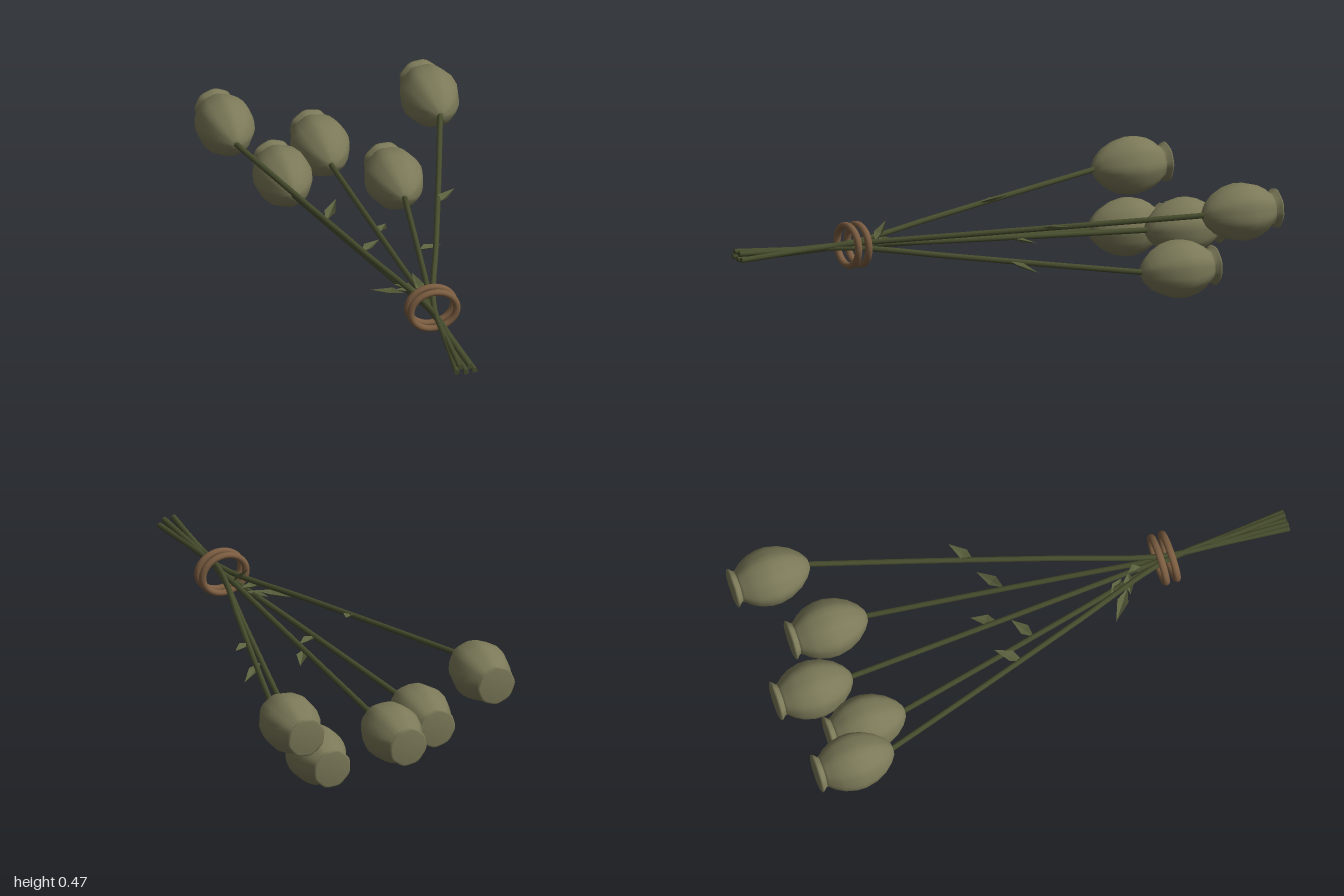
import * as THREE from 'three';
import { mergeVertices } from 'three/addons/utils/BufferGeometryUtils.js';

const mat = (name, color, extra = {}) => {
  const m = new THREE.MeshStandardMaterial({ color, ...extra });
  m.name = name;
  return m;
};
const V = (p) => new THREE.Vector3(...p);

// Closed lathe lying along -z, with gentle lobes around its side
function lobedLathe(points, lobes, depth, phase) {
  const geo = new THREE.LatheGeometry(points.map(([r, y]) => new THREE.Vector2(r, y)), 32);
  geo.deleteAttribute('uv');
  geo.deleteAttribute('normal');
  const p = geo.attributes.position;
  for (let i = 0; i < p.count; i++) {
    const k = 1 + depth * Math.cos(lobes * Math.atan2(p.getX(i), p.getZ(i)) + phase);
    p.setX(i, p.getX(i) * k);
    p.setZ(i, p.getZ(i) * k);
  }
  const merged = mergeVertices(geo, 1e-5);
  merged.rotateX(-Math.PI / 2);
  merged.computeVertexNormals();
  return merged;
}

// Small pointed leaf folded along its midrib
function leafGeometry(base, tip) {
  const a = V(base), b = V(tip);
  const dir = b.clone().sub(a).normalize();
  const side = dir.clone().cross(new THREE.Vector3(0, 1, 0)).normalize();
  const up = side.clone().cross(dir);
  const mid = a.clone().lerp(b, 0.45).addScaledVector(up, -0.008);
  const l = a.clone().lerp(b, 0.4).addScaledVector(side, 0.021).addScaledVector(up, 0.006);
  const r = a.clone().lerp(b, 0.4).addScaledVector(side, -0.021).addScaledVector(up, 0.006);
  const geo = new THREE.BufferGeometry().setFromPoints([a, l, mid, l, b, mid, a, mid, r, mid, b, r]);
  geo.computeVertexNormals();
  return geo;
}

export function createModel() {
  const model = new THREE.Group();
  model.name = 'driedPodBouquet';
  const podMat = mat('pod olive', 0x7b7958);
  const stemMat = mat('stem green', 0x464c2d);
  const leafMat = mat('leaf green', 0x5a603d, { side: THREE.DoubleSide });
  const twineMat = mat('twine brown', 0x7a5c40);
  const add = (name, geo, material, parent = model) => {
    const mesh = new THREE.Mesh(geo, material);
    mesh.name = name;
    parent.add(mesh);
    return mesh;
  };

  const podProfile = [[0, 0], [0.022, 0.004], [0.048, 0.022], [0.075, 0.053], [0.096, 0.095], [0.106, 0.14],
    [0.105, 0.175], [0.095, 0.215], [0.079, 0.245], [0.062, 0.265], [0.056, 0.278], [0, 0.28]];
  const crownProfile = [[0.054, 0.262], [0.06, 0.278], [0.071, 0.289], [0.073, 0.294], [0.066, 0.298], [0, 0.301]];

  // Each stem: cut end, gathering point in the twine, pod base
  const stems = [
    { cut: [0.038, 0.272, 1], tie: [-0.004, 0.286, 0.53], pod: [-0.395, 0.372, -0.65] },
    { cut: [0.02, 0.292, 1], tie: [0, 0.272, 0.53], pod: [-0.208, 0.19, -0.54] },
    { cut: [0.006, 0.27, 1], tie: [0.006, 0.276, 0.53], pod: [-0.027, 0.212, -0.68] },
    { cut: [-0.018, 0.294, 1], tie: [0.014, 0.27, 0.53], pod: [0.212, 0.113, -0.54] },
    { cut: [-0.03, 0.274, 1], tie: [0.016, 0.286, 0.53], pod: [0.392, 0.343, -0.7] },
  ];
  stems.forEach(({ cut, tie, pod }, i) => {
    const c = V(cut), t = V(tie), p = V(pod);
    const path = new THREE.CatmullRomCurve3([c, c.clone().lerp(t, 0.5), t, t.clone().lerp(p, 0.33),
      t.clone().lerp(p, 0.67), p.clone().add(new THREE.Vector3(0, 0, -0.01))]);
    add('stem', new THREE.TubeGeometry(path, 24, 0.0105, 8), stemMat);

    // Flat cap on the cut end
    const cap = add('stemEnd', new THREE.CircleGeometry(0.0105, 8), stemMat);
    cap.position.copy(c);
    cap.lookAt(c.clone().multiplyScalar(2).sub(t));

    // Seed pod with its flared crown
    const head = new THREE.Group();
    head.name = 'seedPod';
    head.position.copy(p);
    add('podBody', lobedLathe(podProfile, 8, 0.02, i), podMat, head);
    add('podCrown', lobedLathe(crownProfile, 8, 0.02, i), podMat, head);
    model.add(head);
  });

  // Leaves: base and tip
  const leaves = [
    [[-0.215, 0.333, -0.09], [-0.152, 0.367, -0.18]],
    [[-0.105, 0.231, -0.01], [-0.02, 0.24, -0.067]],
    [[-0.012, 0.24, -0.115], [0.042, 0.222, -0.203]],
    [[0.125, 0.187, -0.045], [0.225, 0.155, -0.115]],
    [[0.21, 0.319, -0.13], [0.3, 0.332, -0.197]],
    [[-0.05, 0.262, 0.37], [-0.155, 0.248, 0.29]],
    [[0.005, 0.282, 0.44], [-0.025, 0.35, 0.38]],
    [[0.0, 0.275, 0.39], [-0.085, 0.282, 0.37]],
    [[-0.01, 0.27, 0.36], [-0.07, 0.262, 0.3]],
  ];
  for (const [base, tip] of leaves) add('leaf', leafGeometry(base, tip), leafMat);

  // Two loops of twine around the stems
  for (const z of [0.51, 0.552]) {
    const ring = add('twineLoop', new THREE.TorusGeometry(0.087, 0.0135, 12, 40), twineMat);
    ring.scale.y = 0.85;
    ring.position.set(0.01, 0.28, z);
  }
  return model;
}
